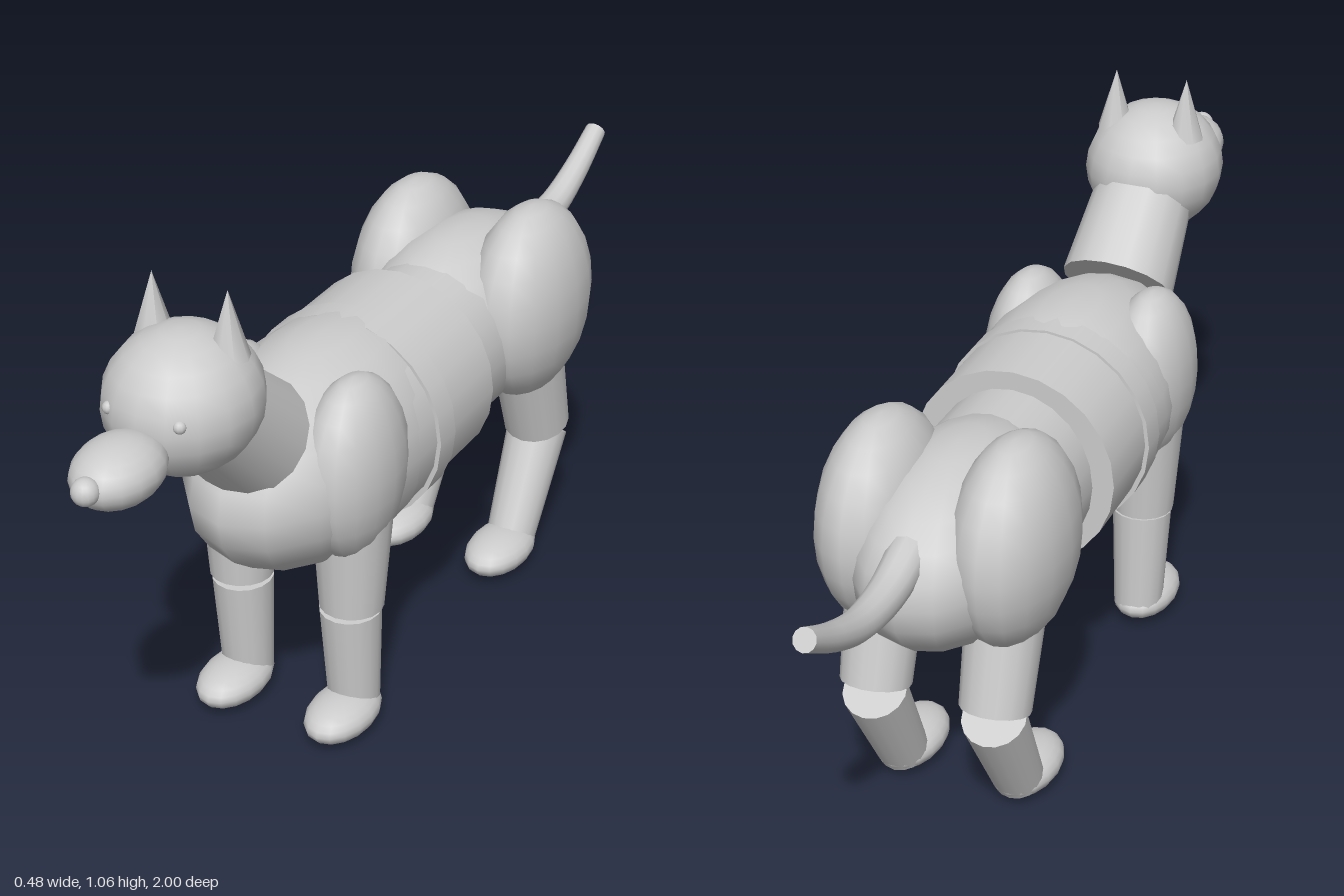
import * as THREE from 'three';

const grey = new THREE.MeshStandardMaterial({ color: 0xcccccc });
grey.name = 'plain grey';

const V = (x, y, z) => new THREE.Vector3(x, y, z);

export function createModel() {
  const model = new THREE.Group();
  model.name = 'dog';

  const add = (name, geometry) => {
    const mesh = new THREE.Mesh(geometry, grey);
    mesh.name = name;
    model.add(mesh);
    return mesh;
  };

  // Ellipsoid from centre and radii, poles along y
  const blob = (name, c, r, w = 16, h = 12) => {
    const mesh = add(name, new THREE.SphereGeometry(1, w, h));
    mesh.position.set(...c);
    mesh.scale.set(...r);
    return mesh;
  };

  // Tapered round limb from point a to point b
  const limb = (name, a, b, ra, rb, sides = 16) => {
    const dir = b.clone().sub(a);
    const mesh = add(name, new THREE.CylinderGeometry(rb, ra, dir.length(), sides));
    mesh.position.copy(a).add(b).multiplyScalar(0.5);
    mesh.quaternion.setFromUnitVectors(V(0, 1, 0), dir.normalize());
    return mesh;
  };

  // Trunk
  blob('chest', [0, 0.55, 0.2], [0.205, 0.215, 0.38]);
  limb('ribcage', V(0, 0.55, -0.096), V(0, 0.55, 0.2), 0.205, 0.205, 24);
  limb('girth band', V(0, 0.547, 0.075), V(0, 0.547, 0.134), 0.213, 0.213, 24);
  const waist = limb('waist', V(0, 0.54, -0.34), V(0, 0.54, -0.05), 0.182, 0.177, 24);
  waist.scale.x = 0.91;
  blob('pelvis', [0, 0.555, -0.35], [0.175, 0.19, 0.3]);

  // Neck and head
  limb('neck', V(0, 0.68, 0.465), V(0, 0.85, 0.65), 0.115, 0.098);
  blob('head', [0, 0.86, 0.675], [0.14, 0.133, 0.152]);
  blob('muzzle', [0, 0.822, 0.878], [0.076, 0.058, 0.1]);
  blob('nose', [0, 0.83, 0.975], [0.025, 0.025, 0.025]);

  for (const [side, s] of [['left', 1], ['right', -1]]) {
    // Face
    blob(`${side} eye`, [s * 0.07, 0.88, 0.797], [0.012, 0.012, 0.012], 10, 8);
    limb(`${side} ear`, V(s * 0.075, 0.943, 0.645), V(s * 0.075, 1.068, 0.645), 0.038, 0, 8);

    // Front leg
    blob(`${side} shoulder`, [s * 0.128, 0.575, 0.315], [0.088, 0.183, 0.14]);
    limb(`${side} upper front leg`, V(s * 0.122, 0.5, 0.31), V(s * 0.12, 0.27, 0.312), 0.079, 0.062);
    limb(`${side} lower front leg`, V(s * 0.118, 0.262, 0.312), V(s * 0.118, 0.045, 0.3), 0.06, 0.05);
    blob(`${side} front paw`, [s * 0.12, 0.044, 0.347], [0.064, 0.041, 0.102]);

    // Hind leg
    blob(`${side} haunch`, [s * 0.13, 0.595, -0.4], [0.11, 0.205, 0.187]);
    limb(`${side} thigh`, V(s * 0.12, 0.46, -0.42), V(s * 0.12, 0.272, -0.475), 0.075, 0.068);
    limb(`${side} hind shank`, V(s * 0.12, 0.255, -0.482), V(s * 0.12, 0.045, -0.365), 0.062, 0.05);
    blob(`${side} hind paw`, [s * 0.12, 0.044, -0.318], [0.064, 0.041, 0.104]);
  }

  // Tail: tube whose rings shrink towards the tip
  const path = new THREE.CatmullRomCurve3([
    V(0, 0.635, -0.57), V(0, 0.608, -0.67), V(0, 0.612, -0.78),
    V(0, 0.652, -0.89), V(0, 0.705, -0.985),
  ]);
  const steps = 16, sides = 12, base = 0.04, tip = 0.022;
  const tail = new THREE.TubeGeometry(path, steps, base, sides, false);
  const pos = tail.attributes.position, p = V(0, 0, 0);
  for (let i = 0; i <= steps; i++) {
    const centre = path.getPointAt(i / steps);
    const k = THREE.MathUtils.lerp(1, tip / base, i / steps);
    for (let j = 0; j <= sides; j++) {
      const n = i * (sides + 1) + j;
      p.fromBufferAttribute(pos, n).sub(centre).multiplyScalar(k).add(centre);
      pos.setXYZ(n, p.x, p.y, p.z);
    }
  }
  add('tail', tail);
  const cap = add('tail tip', new THREE.CircleGeometry(tip, sides));
  cap.position.copy(path.getPointAt(1));
  cap.quaternion.setFromUnitVectors(V(0, 0, 1), path.getTangentAt(1));

  return model;
}
